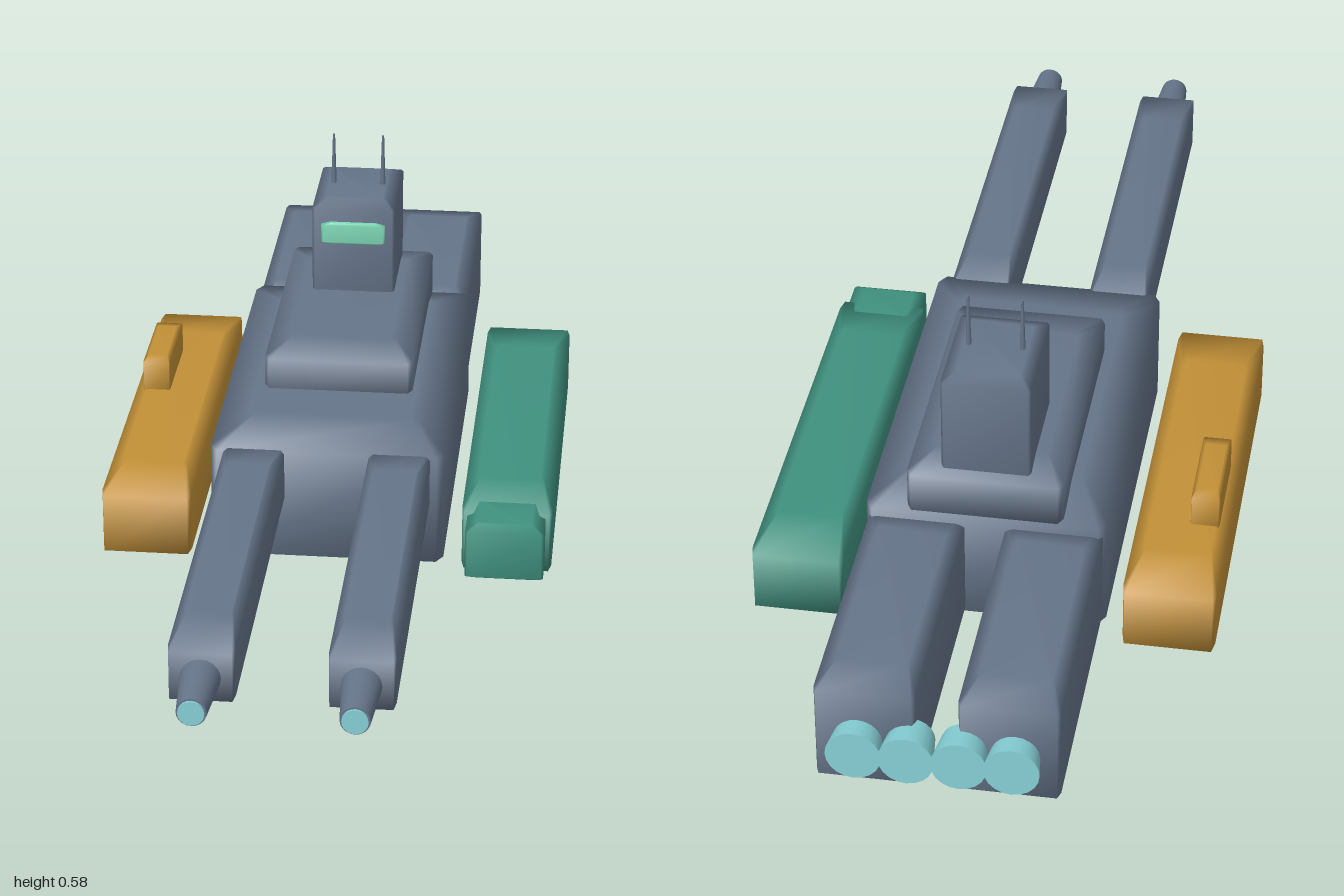
import * as THREE from 'three';

const mat = (name, color) => {
  const m = new THREE.MeshStandardMaterial({ color });
  m.name = name;
  return m;
};

// Bevelled block between two corners: four stacked eight-sided rings, smooth shaded
function block(name, material, [x0, x1], [y0, y1], [z0, z1], bevelY = 0.1) {
  const inset = 0.72, a = 0.5, b = 0.47;
  const levels = [[0, inset], [bevelY, 1], [1 - bevelY, 1], [1, inset]];
  const outline = [[b, a], [a, b], [a, -b], [b, -a], [-b, -a], [-a, -b], [-a, b], [-b, a]];
  const n = outline.length, top = 3 * n, pos = [], index = [];
  for (const [t, s] of levels) {
    for (const [u, v] of outline) {
      pos.push((x0 + x1) / 2 + u * s * (x1 - x0), y0 + t * (y1 - y0), (z0 + z1) / 2 + v * s * (z1 - z0));
    }
  }
  for (let r = 0; r < 3; r++) {
    for (let i = 0; i < n; i++) {
      const p = r * n + i, q = r * n + (i + 1) % n;
      index.push(p, q, q + n, p, q + n, p + n);
    }
  }
  // Bottom and top caps
  for (let i = 1; i < n - 1; i++) {
    index.push(0, i + 1, i, top, top + i, top + i + 1);
  }
  const g = new THREE.BufferGeometry();
  g.setAttribute('position', new THREE.Float32BufferAttribute(pos, 3));
  g.setIndex(index);
  g.computeVertexNormals();
  const mesh = new THREE.Mesh(g, material);
  mesh.name = name;
  return mesh;
}

// Round part along z from z0 (radius r0) to z1 (radius r1)
function roundZ(name, material, x, y, z0, z1, r0, r1) {
  const g = new THREE.CylinderGeometry(r1, r0, z1 - z0, 20).rotateX(Math.PI / 2);
  const mesh = new THREE.Mesh(g, material);
  mesh.position.set(x, y, (z0 + z1) / 2);
  mesh.name = name;
  return mesh;
}

export function createModel() {
  const slate = mat('slate hull', 0x66758a);
  const teal = mat('teal pod', 0x40917f);
  const amber = mat('amber pod', 0xc29037);
  const cyan = mat('cyan glow', 0x86d0d6);
  const mint = mat('mint visor', 0x7ed6b5);
  const model = new THREE.Group();
  model.name = 'gunship';

  // Hull, deck and bridge
  model.add(
    block('hull', slate, [-0.203, 0.203], [0, 0.247], [-0.51, 0.195]),
    block('deck', slate, [-0.131, 0.131], [0.218, 0.317], [-0.515, -0.012], 0.14),
    block('bridge', slate, [-0.075, 0.075], [0.295, 0.49], [-0.492, -0.291], 0.063),
    block('visor', mint, [-0.058, 0.058], [0.413, 0.453], [-0.303, -0.28])
  );

  // Mirrored guns, engines and antennas
  for (const s of [1, -1]) {
    const span = (a, b) => (s > 0 ? [a, b] : [-b, -a]);
    model.add(
      block('gunHousing', slate, span(0.073, 0.179), [0.124, 0.234], [0.16, 0.89], 0.12),
      roundZ('gunBarrel', slate, s * 0.126, 0.178, 0.87, 0.996, 0.034, 0.024),
      roundZ('gunMuzzle', cyan, s * 0.126, 0.178, 0.992, 1.0, 0.021, 0.021),
      block('engine', slate, span(0.034, 0.197), [0.018, 0.217], [-0.96, -0.482], 0.08)
    );
    const antenna = new THREE.Mesh(new THREE.CylinderGeometry(0.002, 0.005, 0.1, 8), slate);
    antenna.position.set(s * 0.045, 0.535, -0.39);
    antenna.name = 'antenna';
    model.add(antenna);
  }

  // Row of four exhaust nozzles
  for (let i = 0; i < 4; i++) {
    model.add(roundZ('exhaustNozzle', cyan, (i - 1.5) * 0.084, 0.113, -1.0, -0.94, 0.045, 0.037));
  }

  // Side pods
  model.add(
    block('leftPod', teal, [0.236, 0.392], [0.013, 0.147], [-0.555, 0.213]),
    block('leftPodCap', teal, [0.246, 0.381], [0.032, 0.138], [0.15, 0.275]),
    block('rightPod', amber, [-0.393, -0.237], [0.013, 0.147], [-0.555, 0.213]),
    block('rightPodSensor', amber, [-0.377, -0.328], [0.125, 0.205], [-0.37, -0.192], 0.06)
  );
  return model;
}
